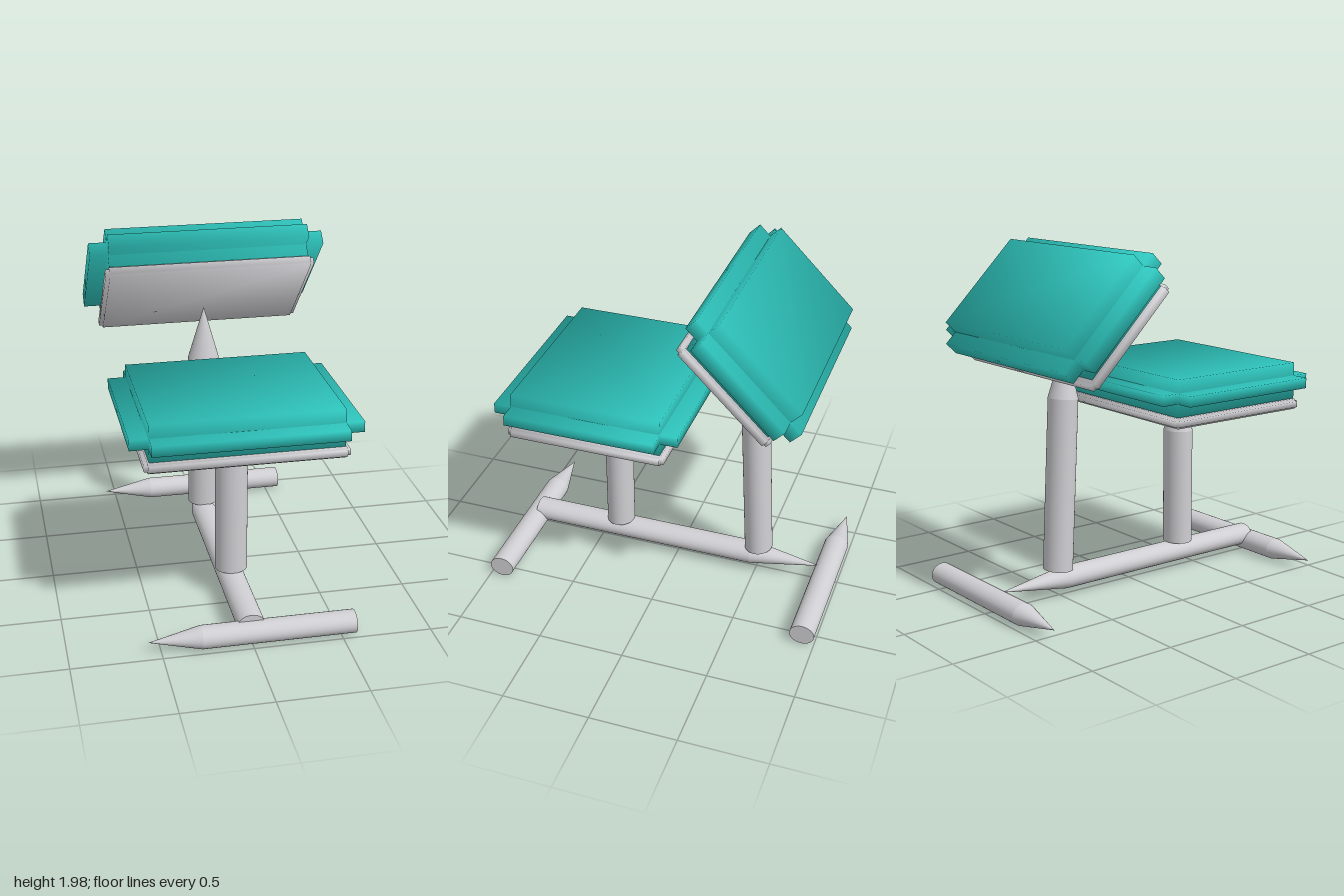
import * as THREE from 'three';

const teal = new THREE.MeshStandardMaterial({ color: 0x2ec4bc });
teal.name = 'tealUpholstery';
const grey = new THREE.MeshStandardMaterial({ color: 0xcfcfd3 });
grey.name = 'lightGreyFrame';

// Box from half sizes, with normals blended at the corners for soft shading
function softBox(hx, hy, hz, material, name) {
  const geo = new THREE.BoxGeometry(hx * 2, hy * 2, hz * 2);
  const p = geo.attributes.position, n = new THREE.Vector3();
  for (let i = 0; i < p.count; i++) {
    n.set(Math.sign(p.getX(i)), Math.sign(p.getY(i)), Math.sign(p.getZ(i))).normalize();
    geo.attributes.normal.setXYZ(i, n.x, n.y, n.z);
  }
  const mesh = new THREE.Mesh(geo, material);
  mesh.name = name;
  return mesh;
}

// Block with a thinner band stepping out on all four sides, notched at the corners
function steppedPad(name, material, [hx, hy, hz], step, bandHalf) {
  const pad = new THREE.Group();
  pad.name = name;
  pad.add(
    softBox(hx, hy, hz, material, name + 'Core'),
    softBox(hx + step, bandHalf, hz, material, name + 'SideBand'),
    softBox(hx, bandHalf, hz + step, material, name + 'EndBand')
  );
  return pad;
}

// Round bar with a flat start and a pointed end, running along +y from its base
function pointedBar(name, rx, rz, straight, tip) {
  const bar = new THREE.Group();
  bar.name = name;
  const shaft = new THREE.Mesh(new THREE.CylinderGeometry(1, 1, straight, 40), grey);
  shaft.name = name + 'Shaft';
  shaft.position.y = straight / 2;
  const point = new THREE.Mesh(new THREE.ConeGeometry(1, tip, 40, 1, true), grey);
  point.name = name + 'Point';
  point.position.y = straight + tip / 2;
  bar.add(shaft, point);
  bar.scale.set(rx, 1, rz);
  return bar;
}

export function createModel() {
  const chair = new THREE.Group();
  chair.name = 'chair';

  // Cross feet at the front and back
  for (const [name, z] of [['frontFoot', 0.928], ['backFoot', -0.928]]) {
    const foot = pointedBar(name, 0.0625, 0.072, 0.86, 0.29);
    foot.rotation.z = Math.PI / 2;
    foot.position.set(0.58, 0.0625, z);
    chair.add(foot);
  }

  // Spine joining the feet
  const spine = pointedBar('spine', 0.077, 0.0625, 1.39, 0.42);
  spine.rotation.x = -Math.PI / 2;
  spine.position.set(0, 0.098, 0.92);
  chair.add(spine);

  // Posts carrying the seat and the backrest
  const seatPost = pointedBar('seatPost', 0.092, 0.082, 0.69, 0.27);
  seatPost.position.set(0, 0.16, 0.375);
  const backPost = pointedBar('backPost', 0.092, 0.082, 0.99, 0.32);
  backPost.position.set(0, 0.16, -0.508);
  backPost.rotation.x = 0.048;
  chair.add(seatPost, backPost);

  // Seat cushion on its base plate
  const seat = new THREE.Group();
  seat.name = 'seat';
  seat.position.set(0, 1.175, 0.37);
  const seatPlate = steppedPad('seatPlate', grey, [0.535, 0.029, 0.443], 0.02, 0.017);
  seatPlate.position.y = -0.138;
  seat.add(steppedPad('seatCushion', teal, [0.527, 0.106, 0.438], 0.102, 0.03), seatPlate);
  chair.add(seat);

  // Backrest cushion and plate, tipped forward
  const backrest = new THREE.Group();
  backrest.name = 'backrest';
  backrest.position.set(0, 1.67, -0.545);
  backrest.rotation.x = -Math.PI / 4;
  const backPlate = steppedPad('backrestPlate', grey, [0.583, 0.031, 0.325], 0.022, 0.018);
  backPlate.position.set(0, -0.152, -0.005);
  backrest.add(steppedPad('backrestCushion', teal, [0.58, 0.128, 0.315], 0.103, 0.042), backPlate);
  backrest.children[0].children[2].scale.z = 0.963;
  chair.add(backrest);

  return chair;
}
